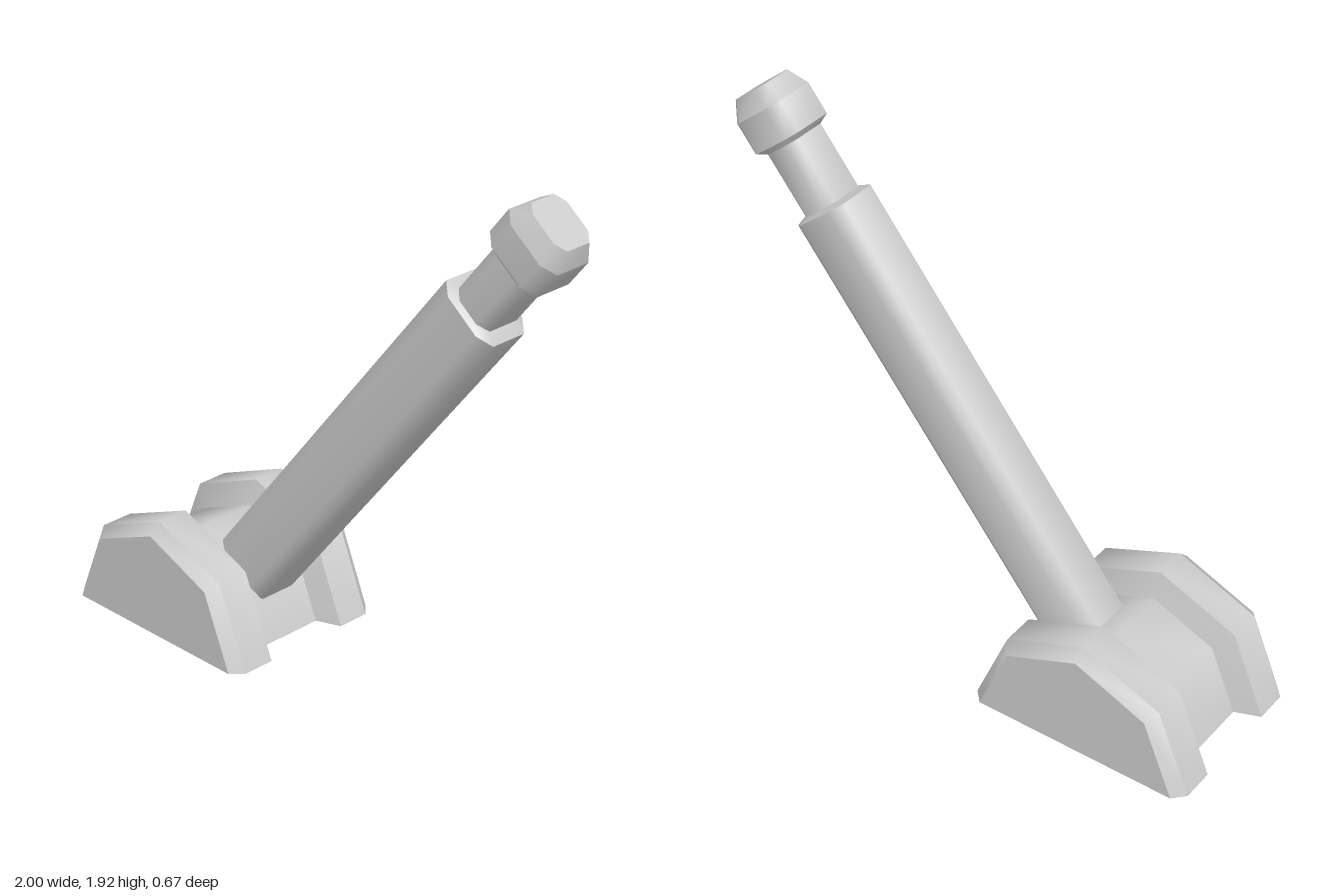
import * as THREE from 'three';

const material = new THREE.MeshStandardMaterial({ color: 0xcccccc, side: THREE.DoubleSide });

// Skins counter-clockwise xy outlines stacked along z.
// Each band is smooth around the outline, with hard edges between bands.
function loft(name, rings, { closed = true, startCap = false, endCap = false } = {}) {
  const positions = [];
  const indices = [];
  const addRing = ({ outline, z }) => {
    const start = positions.length / 3;
    outline.forEach(([x, y]) => positions.push(x, y, z));
    return start;
  };
  const count = rings[0].outline.length;
  for (let r = 0; r < rings.length - 1; r++) {
    const a = addRing(rings[r]);
    const b = addRing(rings[r + 1]);
    for (let i = 0; i < (closed ? count : count - 1); i++) {
      const j = (i + 1) % count;
      indices.push(a + i, a + j, b + j, a + i, b + j, b + i);
    }
  }
  const addCap = (ring, flip) => {
    const s = addRing(ring);
    for (let i = 1; i < count - 1; i++) {
      if (flip) indices.push(s, s + i + 1, s + i);
      else indices.push(s, s + i, s + i + 1);
    }
  };
  if (startCap) addCap(rings[0], true);
  if (endCap) addCap(rings[rings.length - 1], false);

  const geometry = new THREE.BufferGeometry();
  geometry.setAttribute('position', new THREE.Float32BufferAttribute(positions, 3));
  geometry.setIndex(indices);
  geometry.computeVertexNormals();
  const mesh = new THREE.Mesh(geometry, material);
  mesh.name = name;
  return mesh;
}

// Half octagon standing on the ground
function arch(radius, z) {
  const outline = [];
  for (let i = 0; i <= 4; i++) {
    const angle = (i * Math.PI) / 4;
    outline.push([radius * Math.cos(angle), radius * Math.sin(angle)]);
  }
  return { outline, z };
}

// Rectangle with chamfered corners: half sizes w, h and half flats fw, fh
function chamfered(w, h, fw, fh, z) {
  return {
    outline: [
      [w, -fh], [w, fh], [fw, h], [-fw, h],
      [-w, fh], [-w, -fh], [-fw, -h], [fw, -h],
    ],
    z,
  };
}

export function createModel() {
  const model = new THREE.Group();
  model.name = 'lever';

  // Base: spool-shaped housing, open underneath
  const base = loft('base', [
    arch(0.385, -0.333),
    arch(0.425, -0.29),
    arch(0.425, -0.168),
    arch(0.335, -0.133),
    arch(0.335, 0.133),
    arch(0.425, 0.168),
    arch(0.425, 0.29),
    arch(0.385, 0.333),
  ], { closed: false, startCap: true, endCap: true });
  base.position.x = -0.575;
  model.add(base);

  // Slanted arm, built along its own z axis
  const arm = new THREE.Group();
  arm.name = 'arm';
  const across = new THREE.Vector3(0.779, -0.627, 0).normalize();
  const along = new THREE.Vector3(0.627, 0.779, 0).normalize();
  arm.quaternion.setFromRotationMatrix(
    new THREE.Matrix4().makeBasis(across, along.clone().cross(across), along));
  arm.position.set(-0.395, 0.225, 0);

  // Shaft with a shallow shoulder at its upper end
  arm.add(loft('shaft', [
    chamfered(0.127, 0.105, 0.075, 0.07, 0),
    chamfered(0.127, 0.105, 0.075, 0.07, 1.65),
    chamfered(0.083, 0.089, 0.045, 0.06, 1.665),
  ], { startCap: true }));

  // Thin neck
  arm.add(loft('neck', [
    chamfered(0.083, 0.089, 0.045, 0.06, 1.66),
    chamfered(0.083, 0.089, 0.045, 0.06, 1.905),
  ]));

  // Knob with bevelled tip
  arm.add(loft('knob', [
    chamfered(0.083, 0.089, 0.045, 0.06, 1.902),
    chamfered(0.124, 0.105, 0.075, 0.07, 1.921),
    chamfered(0.124, 0.105, 0.075, 0.07, 2.037),
    chamfered(0.091, 0.076, 0.054, 0.05, 2.106),
  ], { endCap: true }));
  model.add(arm);

  return model;
}
